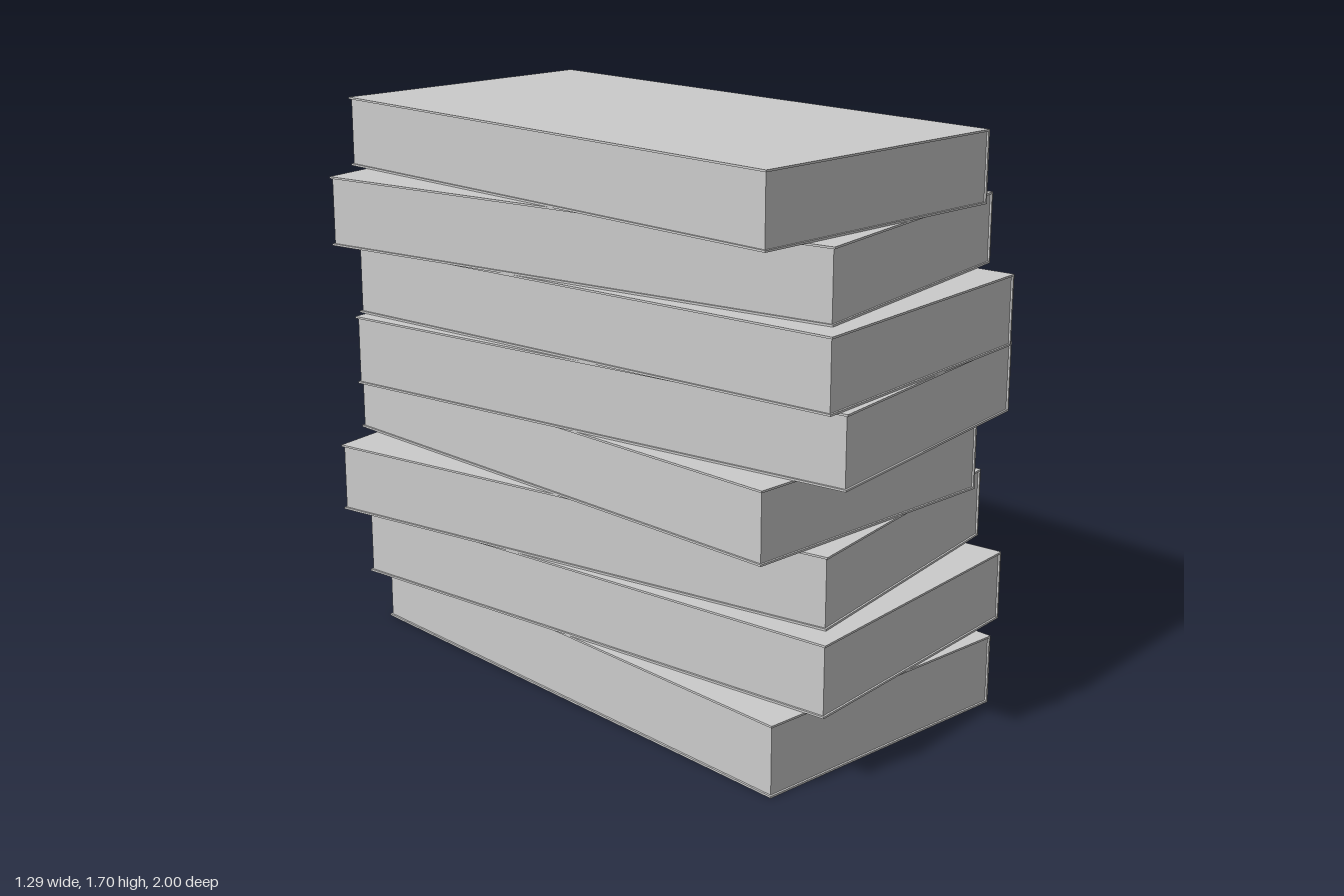
import * as THREE from 'three';

const WIDTH = 0.915, DEPTH = 1.755, HEIGHT = 0.2121;
const BOARD = 0.006, LIP = 0.006;

// [turn about y, centre z] for each book, bottom to top
const STACK = [
  [0, 0.043], [0.148, 0.048], [0.227, -0.043], [0.0315, -0.048],
  [0.198, 0.05], [0.148, 0.048], [0.227, -0.043], [0.0315, -0.048],
];

const material = new THREE.MeshStandardMaterial({ color: 0xcccccc });

// C-shaped section, spine on +x, run along the depth of the book
function coverGeometry() {
  const w = WIDTH / 2;
  const section = new THREE.Shape([
    [-w, 0], [w, 0], [w, HEIGHT], [-w, HEIGHT],
    [-w, HEIGHT - BOARD], [w - BOARD, HEIGHT - BOARD], [w - BOARD, BOARD], [-w, BOARD],
  ].map(([x, y]) => new THREE.Vector2(x, y)));
  return new THREE.ExtrudeGeometry(section, { depth: DEPTH, bevelEnabled: false })
    .translate(0, 0, -DEPTH / 2);
}

// Page block, set back from the cover on its three open edges
function pagesGeometry() {
  return new THREE.BoxGeometry(WIDTH - BOARD - LIP, HEIGHT - 2 * BOARD, DEPTH - 2 * LIP)
    .translate((LIP - BOARD) / 2, HEIGHT / 2, 0);
}

export function createModel() {
  const model = new THREE.Group();
  model.name = 'bookStack';
  const parts = { cover: coverGeometry(), pages: pagesGeometry() };

  STACK.forEach(([turn, z], i) => {
    const book = new THREE.Group();
    book.name = `book${i + 1}`;
    for (const [name, geometry] of Object.entries(parts)) {
      const mesh = new THREE.Mesh(geometry, material);
      mesh.name = name;
      book.add(mesh);
    }
    book.position.set(0, i * HEIGHT, z);
    book.rotation.y = turn;
    model.add(book);
  });
  return model;
}
